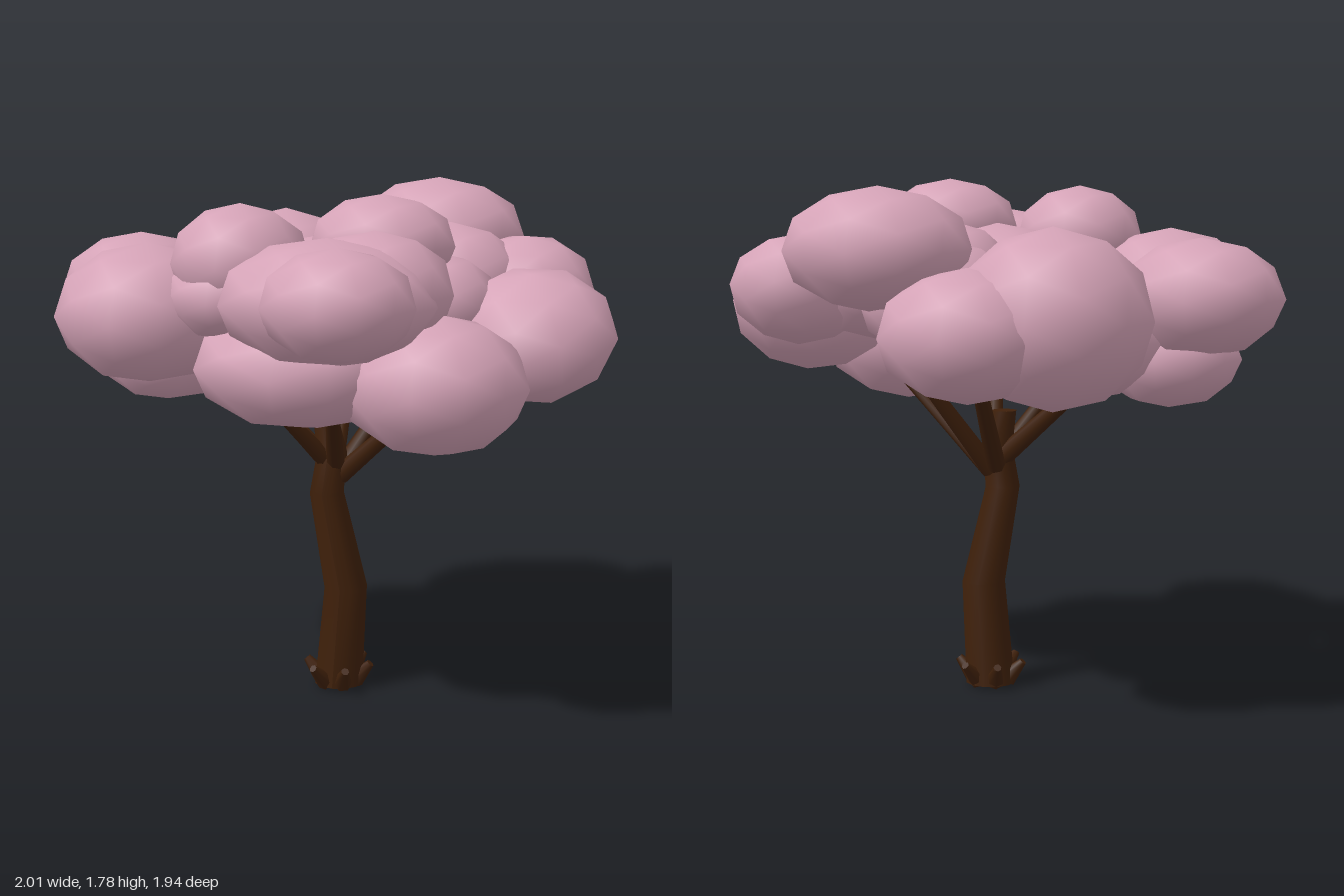
import * as THREE from 'three';

const bark = new THREE.MeshStandardMaterial({ color: 0x3f200a });
bark.name = 'darkBrownBark';
const blossom = new THREE.MeshStandardMaterial({ color: 0xd6a4b8 });
blossom.name = 'palePinkBlossom';

// Straight tapered limb between two points
function limb(name, from, r0, to, r1, sides) {
  const a = new THREE.Vector3(...from);
  const b = new THREE.Vector3(...to);
  const dir = b.clone().sub(a);
  const mesh = new THREE.Mesh(new THREE.CylinderGeometry(r1, r0, dir.length(), sides), bark);
  mesh.name = name;
  mesh.position.copy(a).add(b).multiplyScalar(0.5);
  mesh.quaternion.setFromUnitVectors(new THREE.Vector3(0, 1, 0), dir.normalize());
  return mesh;
}

// Trunk as one bent tube; rings are x, y, z, radius
function trunk() {
  const rings = [
    [0.025, 0, -0.004, 0.087], [0.053, 0.36, 0.006, 0.077], [-0.012, 0.7, 0.022, 0.061],
    [0.004, 0.84, 0.012, 0.054], [-0.022, 0.97, 0.005, 0.044],
  ];
  const last = rings.length - 1;
  const geo = new THREE.CylinderGeometry(1, 1, 1, 12, last);
  const p = geo.attributes.position;
  for (let i = 0; i < p.count; i++) {
    const [cx, y, cz, r] = rings[Math.round((p.getY(i) + 0.5) * last)];
    p.setXYZ(i, cx + p.getX(i) * r, y, cz + p.getZ(i) * r);
  }
  geo.computeVertexNormals();
  const mesh = new THREE.Mesh(geo, bark);
  mesh.name = 'trunk';
  return mesh;
}

export function createModel() {
  const tree = new THREE.Group();
  tree.name = 'blossomTree';
  tree.add(trunk());

  // Short root stubs around the base
  for (let i = 0; i < 6; i++) {
    const a = (i / 6) * Math.PI * 2;
    const c = Math.cos(a), s = Math.sin(a);
    tree.add(limb('root', [0.025 + 0.06 * c, 0.015, 0.06 * s], 0.034,
      [0.025 + 0.118 * c, 0.08, 0.135 * s], 0.014, 7));
  }

  // Branches: base point, base radius, tip point
  const branches = [
    [[0.02, 0.76, -0.01], 0.034, [0.26, 1.18, -0.23]],
    [[0.0, 0.78, -0.02], 0.036, [-0.04, 1.22, -0.44]],
    [[0.03, 0.76, 0.01], 0.034, [0.42, 1.12, 0.1]],
    [[-0.01, 0.8, 0.0], 0.036, [-0.36, 1.11, -0.07]],
    [[0.02, 0.8, 0.02], 0.034, [0.1, 1.12, 0.34]],
    [[0.0, 0.8, 0.02], 0.032, [-0.2, 1.12, 0.26]],
  ];
  for (const [base, r, tip] of branches) tree.add(limb('branch', base, r, tip, r * 0.62, 8));

  // Blossom clumps: centre x, y, z, radii x, y, z, optional tilt about x
  const clumps = [
    [-0.1, 1.29, -0.68, 0.29, 0.215, 0.29],
    [-0.335, 1.335, -0.52, 0.33, 0.295, 0.34],
    [0.24, 1.55, -0.55, 0.315, 0.205, 0.305],
    [0.615, 1.4, -0.28, 0.245, 0.19, 0.24, 0.15],
    [0.715, 1.3, 0.075, 0.285, 0.215, 0.295, 0.25],
    [0.37, 1.43, -0.19, 0.265, 0.205, 0.255],
    [0.1, 1.43, -0.19, 0.21, 0.2, 0.21],
    [0.08, 1.38, -0.4, 0.27, 0.2, 0.27],
    [-0.72, 1.38, -0.05, 0.285, 0.2, 0.285],
    [-0.6, 1.17, 0.02, 0.25, 0.17, 0.24],
    [-0.32, 1.24, -0.19, 0.3, 0.205, 0.27],
    [-0.535, 1.36, 0.35, 0.31, 0.235, 0.345],
    [-0.19, 1.55, 0.4, 0.23, 0.19, 0.245],
    [-0.22, 1.44, 0.46, 0.2, 0.14, 0.19],
    [0.03, 1.42, 0.1, 0.315, 0.195, 0.285],
    [0.24, 1.6, 0.22, 0.245, 0.165, 0.24],
    [0.4, 1.4, 0.13, 0.21, 0.17, 0.21],
    [0.47, 1.18, 0.42, 0.31, 0.23, 0.305],
    [0.15, 1.45, 0.55, 0.36, 0.205, 0.32],
    [0.27, 1.47, 0.42, 0.26, 0.2, 0.265],
    [0.02, 1.22, 0.42, 0.36, 0.205, 0.335],
    [0.24, 1.47, 0.735, 0.25, 0.18, 0.235],
  ];
  const ball = new THREE.IcosahedronGeometry(1, 1);
  const canopy = new THREE.Group();
  canopy.name = 'canopy';
  for (const [x, y, z, rx, ry, rz, tilt = 0] of clumps) {
    const clump = new THREE.Mesh(ball, blossom);
    clump.name = 'blossomClump';
    clump.position.set(x, y, z);
    clump.scale.set(rx, ry, rz);
    clump.rotation.x = tilt;
    canopy.add(clump);
  }
  tree.add(canopy);
  return tree;
}
